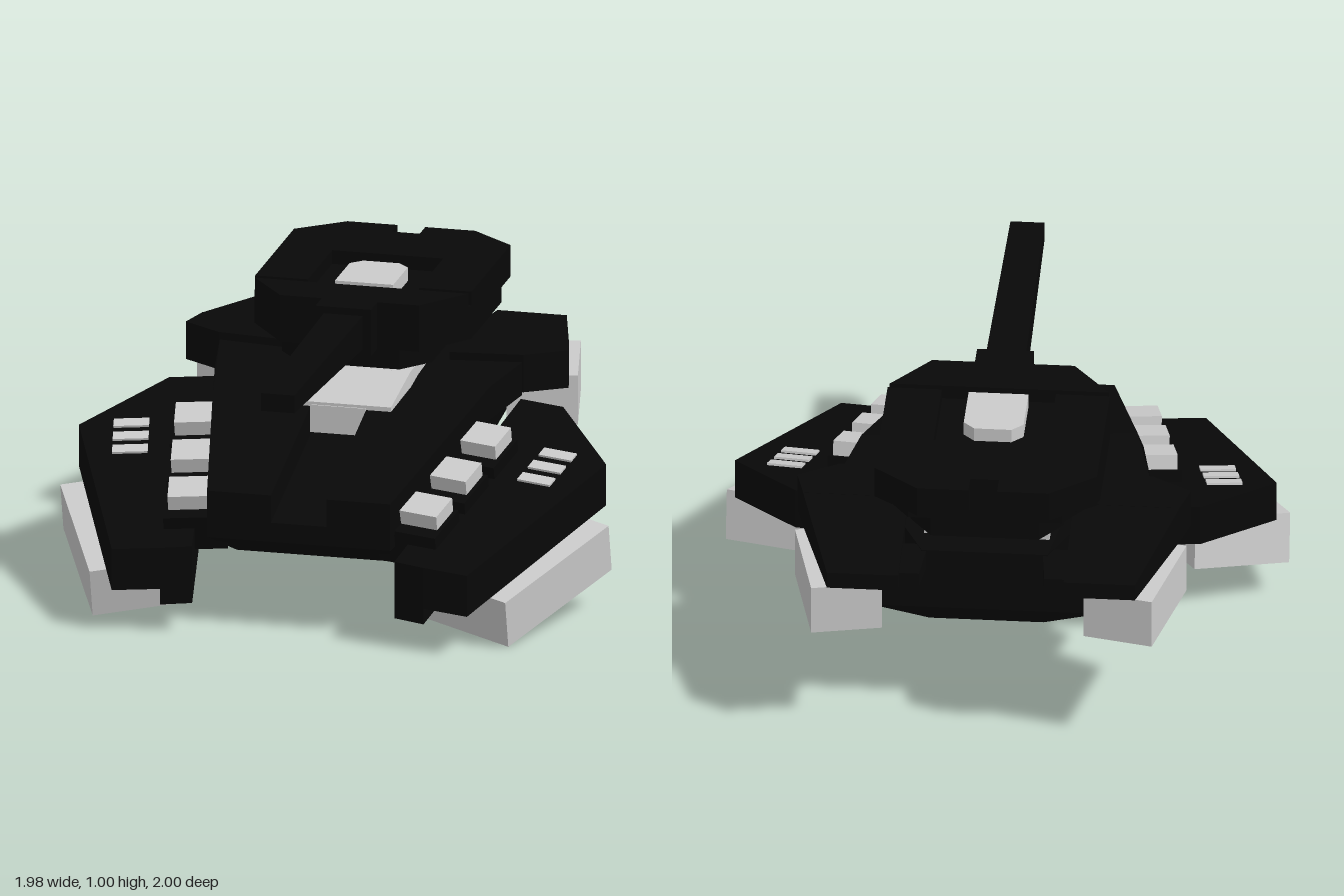
import * as THREE from 'three';

const DARK = new THREE.MeshStandardMaterial({ color: 0x080808, flatShading: true });
const GREY = new THREE.MeshStandardMaterial({ color: 0xcccccc, flatShading: true });

// Closed solid between a lower and an upper ring of [x, y, z] points
function solid(low, high) {
  const flat = (ring) => ring.map(([x, , z]) => new THREE.Vector2(x, z));
  if (THREE.ShapeUtils.area(flat(low)) < 0) {
    low = [...low].reverse();
    high = [...high].reverse();
  }
  const pos = [];
  const cap = (ring, up) => {
    const p = flat(ring);
    for (const [a, b, c] of THREE.ShapeUtils.triangulateShape(p, [])) {
      const facesDown = THREE.ShapeUtils.area([p[a], p[b], p[c]]) > 0;
      pos.push(...ring[a], ...(facesDown === up ? [...ring[c], ...ring[b]] : [...ring[b], ...ring[c]]));
    }
  };
  cap(low, false);
  cap(high, true);
  low.forEach((a, i) => {
    const j = (i + 1) % low.length;
    pos.push(...a, ...high[i], ...high[j], ...a, ...high[j], ...low[j]);
  });
  const g = new THREE.BufferGeometry();
  g.setAttribute('position', new THREE.Float32BufferAttribute(pos, 3));
  g.computeVertexNormals();
  return g;
}

// Plan outline of [x, z] points raised between two heights (numbers or functions of z)
function prism(outline, lo, hi) {
  const at = (h) => outline.map(([x, z]) => [x, typeof h === 'function' ? h(z) : h, z]);
  return solid(at(lo), at(hi));
}

// Completes a half outline across x = 0
const flip = (pts) => pts.map(([x, ...rest]) => [-x, ...rest]);
const both = (half) => [...half, ...flip(half).reverse()];

const deckY = (z) => Math.min(0.72, 0.5 + (0.7 - z) * 0.27, 0.685 + (z + 1) * 0.12);
const podY = (z) => 0.52 - 0.26 * z;
const wingY = (z) => 0.69 + (z + 1) * 0.125;
const SLOPE = Math.atan(0.26);

export function createModel() {
  const model = new THREE.Group();
  const add = (name, geometry, material = DARK, parent = model) => {
    const mesh = new THREE.Mesh(geometry, material);
    mesh.name = name;
    parent.add(mesh);
    return mesh;
  };
  const box = (name, size, at, rot, material, parent) => {
    const mesh = add(name, new THREE.BoxGeometry(...size), material, parent);
    mesh.position.set(...at);
    mesh.rotation.set(...rot);
    return mesh;
  };

  // Boat-shaped hull in two tapered layers
  const keel = both([[0.27, 0.23, 0.51], [0.275, 0.14, 0.1], [0.275, 0.125, -0.14], [0.2, 0.385, -0.76]]);
  const belt = both([[0.33, 0.33, 0.7], [0.41, 0.38, 0.1], [0.43, 0.42, -0.2], [0.4, 0.44, -0.78]]);
  const floor = both([[0.33, 0.4, 0.7], [0.45, 0.56, 0.1], [0.48, 0.61, -0.1], [0.4, 0.63, -0.78]]);
  add('lowerHull', solid(keel, belt));
  add('middleHull', solid(belt, floor));
  add('foreDeck', prism(both([[0.46, 0.1], [0.495, -0.07], [0.545, -0.34]]), (z) => deckY(z) - 0.12, deckY));
  add('rearDeck', prism(both([[0.3, -0.34], [0.3, -0.69], [0.22, -0.84]]), 0.61, deckY));

  // Grey collar: flat ring, sloped front plate and a tab below it
  add('turretCollar', prism(both([[0.22, -0.03], [0.22, -0.74]]), 0.66, 0.755), GREY);
  add('collarPlate', prism(both([[0.19, 0.13], [0.22, -0.03]]), 0.65,
    (z) => 0.739 - 0.53 * z), GREY);
  box('collarTab', [0.2, 0.1, 0.1], [0, 0.61, 0.085], [0, 0, 0], GREY);

  // Turret: stepped underside, body, front block, and a rear rim around the hatch recess
  const turret = new THREE.Group();
  turret.name = 'turret';
  model.add(turret);
  add('turretBase', prism(both([[0.18, -0.03], [0.27, -0.14], [0.27, -0.72], [0.19, -0.83]]), 0.76, 0.84), DARK, turret);
  add('turretLower', prism(both([[0.25, -0.03], [0.39, -0.22], [0.39, -0.66], [0.27, -0.83]]), 0.83, 0.89), DARK, turret);
  add('turretBody', prism(both([[0.25, -0.03], [0.39, -0.22], [0.39, -0.79], [0.325, -0.84]]), 0.885, 0.95), DARK, turret);
  add('turretFront', prism(both([[0.25, -0.03], [0.385, -0.205]]), 0.94, 1), DARK, turret);
  add('turretRearTop', prism(both([[0.2, -0.58], [0.2, -0.84]]), 0.94, 1), DARK, turret);
  add('turretNeck', prism(both([[0.15, -0.75], [0.19, -0.83]]), 0.76, 0.9), DARK, turret);
  add('mantlet', prism(both([[0.1, 0.06], [0.1, -0.05]]), 0.83, 1), DARK, turret);
  add('hatch', prism(both([[0.105, -0.24], [0.105, -0.45], [0.065, -0.49]]), 0.94, 1), GREY, turret);
  add('gunBarrel', prism(both([[0.06, 1], [0.07, 0.05]]),
    (z) => 0.85 + 0.055 * z, (z) => 0.975 - 0.005 * z), DARK, turret);

  for (const s of [1, -1]) {
    const side = (pts) => pts.map(([x, z]) => [x * s, z]);
    const label = s > 0 ? 'left' : 'right';

    // Turret rim and lobe, front prong and rear wing
    add(label + 'TurretRim', prism(side([[0.2, -0.23], [0.39, -0.23], [0.39, -0.79], [0.325, -0.84], [0.2, -0.84]]), 0.94, 1), DARK, turret);
    add(label + 'TurretLobe', prism(side([[0.05, -0.8], [0.377, -0.8], [0.23, -0.92], [0.05, -0.92]]), 0.89, 1), DARK, turret);
    add(label + 'Prong', prism(side([[0.1, 0.7], [0.33, 0.7], [0.46, 0.1], [0.1, 0.1]]),
      (z) => deckY(z) - 0.13, deckY));
    add(label + 'RearWing', prism(
      side([[0.29, -0.31], [0.55, -0.34], [0.69, -0.43], [0.66, -0.55], [0.29, -0.55]]), 0.61, 0.747));
    add(label + 'RearWingTip', prism(side([[0.29, -0.55], [0.66, -0.55], [0.54, -1], [0.29, -1]]),
      (z) => (z < -0.9 ? 0.63 : 0.61), wingY));
    add(label + 'RearStep', prism(side([[0.2, -0.8], [0.3, -0.8], [0.3, -0.97], [0.22, -0.97]]),
      0.63, (z) => wingY(z) - 0.01));
    box(label + 'RearThruster', [0.25, 0.18, 0.41], [0.52 * s, 0.52, -0.747], [0, 0.22 * s, 0], GREY);

    // Sloped front pod
    const pod = new THREE.Group();
    pod.name = label + 'Pod';
    model.add(pod);
    add('podPlate', prism(side([[0.55, -0.3], [0.71, -0.27], [0.95, 0.07], [0.64, 0.835], [0.475, 0.805], [0.365, 0.78]]),
      (z) => podY(z) - 0.15, podY), DARK, pod);
    add('podKeel', prism(side([[0.365, 0.775], [0.475, 0.8], [0.63, -0.05], [0.52, -0.08]]),
      (z) => podY(z) - 0.21, (z) => podY(z) - 0.13), DARK, pod);
    box('podThruster', [0.35, 0.18, 0.6], [0.708 * s, 0.176, 0.362], [SLOPE, -0.41 * s, 0], GREY, pod);

    // Three launcher blocks on dark housings, and three vent slats
    for (let i = 0; i < 3; i++) {
      const z = 0.1 + 0.235 * i;
      const x = 0.52 - 0.047 * i;
      box('housing' + (i + 1), [0.22, 0.13, 0.2], [(x - 0.025) * s, podY(z) - 0.02, z - 0.005],
        [SLOPE, -0.19 * s, 0], DARK, pod);
      box('launcher' + (i + 1), [0.145, 0.06, 0.135], [x * s, podY(z) + 0.07, z],
        [SLOPE, -0.19 * s, 0], GREY, pod);
      const v = 0.04 + 0.082 * i;
      box('vent' + (i + 1), [0.125, 0.012, 0.05], [(0.768 - 0.018 * i) * s, podY(v) + 0.002, v],
        [SLOPE, -0.19 * s, 0], GREY, pod);
    }
  }
  return model;
}
